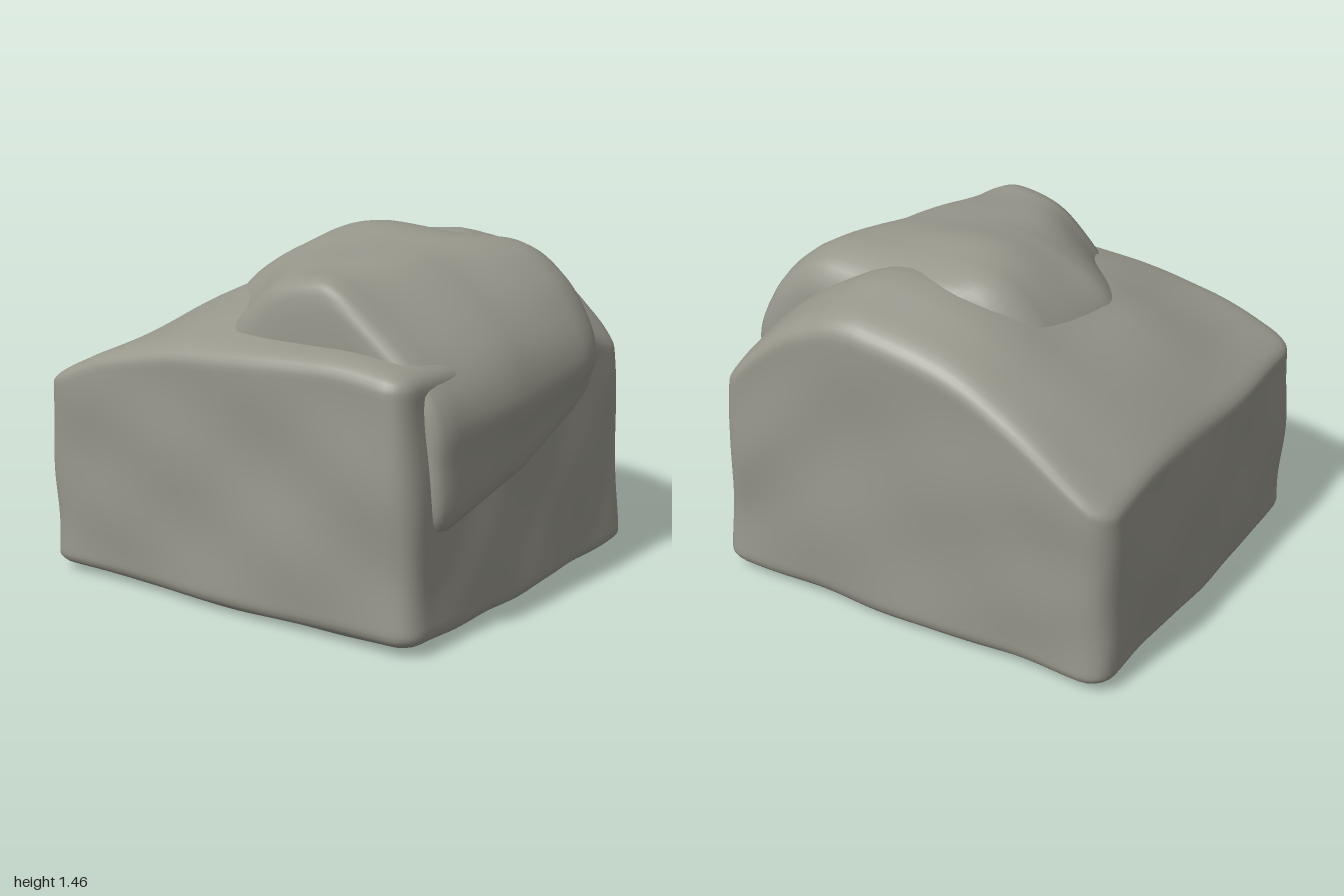
import * as THREE from 'three';
import { mergeVertices } from 'three/addons/utils/BufferGeometryUtils.js';

const { lerp, clamp, smoothstep } = THREE.MathUtils;

// Soft, repeatable unevenness for weathered stone
const bumps = (a, b, s) =>
  0.5 * Math.sin(4.3 * a + s) * Math.cos(3.9 * b - s) +
  0.5 * Math.sin(7.1 * b + 2 * s) * Math.cos(6.3 * a + 1.4 * b);

// Height of the block's sloping top, on a coarse grid
const gridX = [-0.93, -0.6, -0.25, 0, 0.3, 0.6, 0.93];
const gridZ = [-0.87, -0.5, 0.2, 0.87];
const heights = [
  [0.8, 1.03, 1.2, 1.28, 1.34, 1.2, 0.88],
  [0.84, 1.09, 1.32, 1.4, 1.43, 1.28, 1.0],
  [0.85, 1.09, 1.25, 1.26, 1.24, 1.2, 1.05],
  [0.85, 0.99, 1.06, 1.08, 1.1, 1.12, 1.09],
];

function locate(list, v) {
  let i = 0;
  while (i < list.length - 2 && v > list[i + 1]) i++;
  return [i, clamp((v - list[i]) / (list[i + 1] - list[i]), 0, 1)];
}

function topHeight(x, z) {
  const [i, u] = locate(gridX, x);
  const [k, w] = locate(gridZ, z);
  const row = (r) => lerp(heights[r][i], heights[r][i + 1], u);
  return lerp(row(k), row(k + 1), w);
}

function softHeight(x, z) {
  let sum = 0;
  for (const dx of [-0.08, 0, 0.08]) for (const dz of [-0.08, 0, 0.08]) sum += topHeight(x + dx, z + dz);
  return sum / 9;
}

// Main block: a subdivided box with rounded edges, sloping top and worn faces
function blockGeometry() {
  const n = 48, r = 0.12;
  let geo = new THREE.BoxGeometry(2, 2, 2, n, n, n);
  geo.deleteAttribute('uv');
  geo.deleteAttribute('normal');
  geo = mergeVertices(geo);
  const pos = geo.attributes.position;
  const p = new THREE.Vector3(), inner = new THREE.Vector3();
  for (let i = 0; i < pos.count; i++) {
    p.fromBufferAttribute(pos, i);
    inner.copy(p).clampScalar(-1 + r, 1 - r);
    p.sub(inner).setLength(r).add(inner);
    const t = (p.y + 1) / 2;
    // left side bulges, right side leans in towards the top
    const side = p.x < 0
      ? 0.925 + 0.03 * Math.sin(Math.PI * t) * (1 - p.z * p.z)
      : 0.95 - 0.06 * t;
    const x = p.x * side + p.x * Math.abs(p.x) * 0.012 * bumps(t * 1.5, p.z, 1);
    const z = p.z * 0.862 + p.z * Math.abs(p.z) * 0.014 * bumps(p.x, t * 1.5, 4);
    const top = softHeight(x, z) + 0.014 * bumps(x, z, 2);
    const base = 0.03 - 0.022 * (1 - p.x * p.x * p.z * p.z) + 0.008 * bumps(2 * x, 2 * z, 5);
    pos.setXYZ(i, x, lerp(base, top, t), z);
  }
  geo.computeVertexNormals();
  return geo;
}

// Boulder cross-sections from back to front; each starts low on the left and
// runs over the top, down the right side and back inside the block
const sections = [
  { z: -0.4, points: [[-0.4, 1.02], [-0.38, 1.17], [-0.2, 1.37], [0, 1.43], [0.35, 1.41], [0.64, 1.4],
    [0.83, 1.28], [0.95, 1.11], [1, 0.97], [0.985, 0.87], [0.9, 0.74], [0.5, 0.75], [0, 0.85]] },
  { z: 0.1, points: [[-0.42, 1.03], [-0.4, 1.19], [-0.22, 1.33], [0, 1.42], [0.3, 1.41], [0.52, 1.39],
    [0.75, 1.25], [0.92, 1.08], [0.99, 0.9], [0.975, 0.75], [0.91, 0.55], [0.5, 0.6], [0, 0.8]] },
  { z: 0.67, points: [[-0.12, 0.98], [-0.1, 1.08], [0, 1.2], [0.15, 1.33], [0.33, 1.39], [0.47, 1.37],
    [0.68, 1.22], [0.85, 1.07], [0.95, 0.93], [0.975, 0.75], [0.93, 0.45], [0.5, 0.5], [0.1, 0.75]] },
];

function outlineAt(z, count) {
  const [k, w] = locate(sections.map((s) => s.z), z);
  const points = sections[k].points.map(([x, y], j) => {
    const [x2, y2] = sections[k + 1].points[j];
    return new THREE.Vector3(lerp(x, x2, smoothstep(w, 0, 1)), lerp(y, y2, w), 0);
  });
  return new THREE.CatmullRomCurve3(points, true, 'catmullrom', 0.5).getPoints(count);
}

// Boulder: the cross-sections swept from front to back, closed at both ends
function boulderGeometry() {
  const m = 72;
  // rows of [z, size of the section]
  const rows = [[0.72, 0], [0.72, 0.4], [0.72, 0.7], [0.71, 0.84], [0.7, 0.92], [0.67, 0.97]];
  for (let k = 0; k <= 26; k++) rows.push([lerp(0.62, -0.34, k / 26), 1]);
  rows.push([-0.4, 0.98], [-0.46, 0.93], [-0.5, 0.87], [-0.53, 0.78], [-0.55, 0.6], [-0.55, 0.3], [-0.55, 0]);

  const verts = [], index = [];
  rows.forEach(([z, size], i) => {
    const crest = 0.03 * Math.exp(-(((z + 0.15) / 0.2) ** 2));
    outlineAt(z, m).forEach((q) => {
      const b = 0.014 * bumps(q.x * 1.2 + q.y, z * 1.3, 3);
      const x = q.x + b * 0.4;
      const y = q.y + crest * smoothstep(q.y, 1.1, 1.4) + b * smoothstep(q.y, 0.9, 1.2);
      verts.push(lerp(0.65, x, size), lerp(0.98, y, size), z);
    });
    if (!i) return;
    for (let j = 0; j < m; j++) {
      const a = (i - 1) * (m + 1) + j, c = a + m + 1;
      index.push(a, a + 1, c, a + 1, c + 1, c);
    }
  });
  let geo = new THREE.BufferGeometry();
  geo.setAttribute('position', new THREE.Float32BufferAttribute(verts, 3));
  geo.setIndex(index);
  geo = mergeVertices(geo, 1e-4);
  geo.computeVertexNormals();
  return geo;
}

export function createModel() {
  const stone = new THREE.MeshStandardMaterial({ color: 0x98978c });
  stone.name = 'grey stone';
  const model = new THREE.Group();
  model.name = 'rock';
  const add = (name, geo) => {
    const mesh = new THREE.Mesh(geo, stone);
    mesh.name = name;
    model.add(mesh);
  };
  add('baseBlock', blockGeometry());
  add('upperBoulder', boulderGeometry());
  return model;
}
